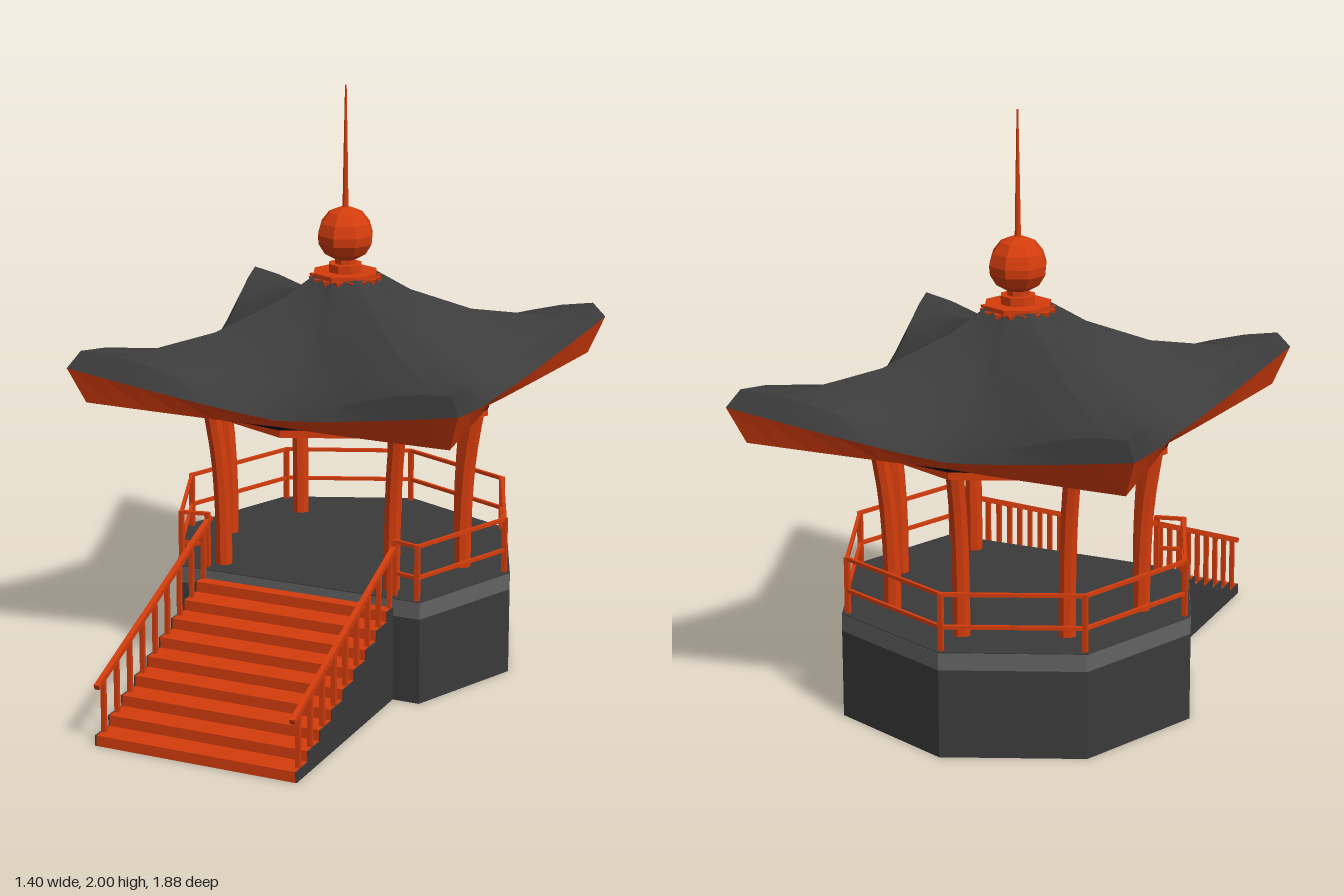
import * as THREE from 'three';
import { toCreasedNormals } from 'three/addons/utils/BufferGeometryUtils.js';

const CZ = -0.24; // centre of the pavilion
const mat = (color, extra = {}) => new THREE.MeshStandardMaterial({ color, flatShading: true, ...extra });
const V = (x, y, z) => new THREE.Vector3(x, y, z);

export function createModel() {
  const model = new THREE.Group();
  const red = mat(0xd43c0c);
  const stone = mat(0x3a3a3a);
  const trim = mat(0x626262);
  const tile = new THREE.MeshStandardMaterial({ color: 0x3c3c3c, side: THREE.DoubleSide });
  const dark = mat(0x07071a, { side: THREE.DoubleSide });
  const thinRed = mat(0xd43c0c, { side: THREE.DoubleSide });

  const add = (name, geometry, material, parent = model) => {
    const mesh = new THREE.Mesh(geometry, material);
    mesh.name = name;
    parent.add(mesh);
    return mesh;
  };
  const group = (name) => {
    const g = new THREE.Group();
    g.name = name;
    model.add(g);
    return g;
  };
  // square bar between two points
  const bar = (name, a, b, t, parent) => {
    const mesh = add(name, new THREE.BoxGeometry(t, t, a.distanceTo(b)), red, parent);
    mesh.position.copy(a).lerp(b, 0.5);
    mesh.lookAt(b);
  };
  // flat slab from [x, z] corners, optionally hollow
  const slab = (pts, y, h, hole) => {
    const path = (p) => p.map(([x, z]) => new THREE.Vector2(x, -z));
    const shape = new THREE.Shape(path(pts));
    if (hole) shape.holes.push(new THREE.Path(path(hole)));
    return new THREE.ExtrudeGeometry(shape, { depth: h, bevelEnabled: false })
      .rotateX(-Math.PI / 2).translate(0, y, 0);
  };

  // platform: octagon cut flat where the stairs meet it, hollow below
  const plan = (k) => [[0.455, 0.405], [0.62, 0], [0.44, -0.44], [0, -0.62],
    [-0.44, -0.44], [-0.62, 0], [-0.455, 0.405]].map(([x, z]) => [x * k, z * k + CZ]);
  add('platformWall', slab(plan(1), 0, 0.3, plan(0.8)), stone);
  add('platformEdge', slab(plan(1), 0.3, 0.058), trim);
  add('platformFloor', slab(plan(0.998), 0.358, 0.003), stone);

  // stairs
  const STEPS = 9, RUN = 0.09, RISE = 0.0365, FRONT = 0.93, BACK = 0.06;
  const profile = new THREE.Shape();
  profile.moveTo(BACK, 0);
  profile.lineTo(FRONT, 0);
  for (let i = 0; i < STEPS; i++) {
    profile.lineTo(FRONT - i * RUN, (i + 1) * RISE);
    profile.lineTo(i === STEPS - 1 ? BACK : FRONT - (i + 1) * RUN, (i + 1) * RISE);
  }
  const stairSolid = (x, w) => new THREE.ExtrudeGeometry(profile, { depth: w, bevelEnabled: false })
    .rotateY(-Math.PI / 2).translate(x + w / 2, 0, 0);
  add('stairs', stairSolid(0, 0.71), red);
  for (const s of [-1, 1]) {
    add('stairSide', stairSolid(s * 0.357, 0.005), stone);
    // sloping handrail with a post on every step
    const rail = group('stairRail');
    const x = s * 0.347;
    bar('handrail', V(x, 0.205, 0.935), V(x, 0.533, 0.115), 0.018, rail);
    for (let i = 0; i < STEPS; i++) {
      const z = FRONT - (i + 0.45) * RUN;
      bar('stairPost', V(x, (i + 1) * RISE, z), V(x, 0.205 + (0.935 - z) * 0.4, z), 0.015, rail);
    }
  }

  // railing around the floor, open at the stairs
  const railing = group('railing');
  const posts = [[0.35, 0.13], ...plan(0.965).map(([x, z]) => [x, z]), [-0.35, 0.13]];
  posts.forEach(([x, z], i) => {
    bar('railPost', V(x, 0.36, z), V(x, 0.555, z), 0.016, railing);
    const next = posts[i + 1];
    if (next) for (const y of [0.44, 0.55]) bar('rail', V(x, y, z), V(next[0], y, next[1]), 0.012, railing);
  });

  // columns curving outward at the top; none in front of the stairs
  const columns = group('columns');
  for (let i = 0; i < 8; i++) {
    if (i === 2) continue;
    const a = i * Math.PI / 4;
    const at = (r, y) => V(Math.cos(a) * r, y, Math.sin(a) * r + CZ);
    const curve = new THREE.CatmullRomCurve3([at(0.445, 0.355), at(0.447, 0.55), at(0.46, 0.75), at(0.488, 0.93)]);
    add('column', new THREE.TubeGeometry(curve, 8, 0.03, 8), red, columns);
  }

  // rings of points running alternately over edge middles and corners
  const N = 6;
  const ring = (mid, corner, midY, cornerY, wave = 0) => {
    const pts = [];
    const key = (o) => {
      const r = o % 2 ? corner : mid, a = o * Math.PI / 4;
      return V(Math.cos(a) * r, 0, Math.sin(a) * r);
    };
    for (let j = 0; j < 8 * N; j++) {
      const o = Math.floor(j / N), f = (j % N) / N;
      const s = o % 2 ? 1 - f : f;
      const p = key(o).lerp(key(o + 1), f);
      p.y = midY + (cornerY - midY) * s ** 1.15 + wave * Math.sin(s * Math.PI * 2);
      pts.push(p);
    }
    return pts;
  };
  const loft = (rings, crease) => {
    const n = 8 * N, index = [];
    for (let k = 0; k < rings.length - 1; k++) {
      for (let j = 0; j < n; j++) {
        const a = k * n + j, b = k * n + (j + 1) % n;
        index.push(a, b, a + n, b, b + n, a + n);
      }
    }
    const g = new THREE.BufferGeometry().setFromPoints(rings.flat());
    g.setIndex(index);
    return toCreasedNormals(g.translate(0, 0, CZ), crease);
  };

  // star-shaped roof with upturned corners
  const eave = ring(0.555, 0.99, 0.975, 1.11);
  const fasciaFoot = ring(0.535, 0.925, 0.948, 0.985);
  add('roof', loft([
    ring(0.1, 0.1, 1.36, 1.36),
    ring(0.17, 0.24, 1.25, 1.275),
    ring(0.27, 0.47, 1.155, 1.185),
    ring(0.41, 0.76, 1.065, 1.135, -0.012),
    ring(0.51, 0.94, 1.025, 1.165, -0.015),
    eave,
  ], 0.6), tile);
  add('fascia', loft([eave, fasciaFoot], 0.3), thinRed);
  add('soffit', loft([fasciaFoot, ring(0.53, 0.53, 0.935, 0.935)], 0.3), dark);

  // lintel ring and ceiling
  const octagon = (r) => Array.from({ length: 8 }, (_, i) =>
    [Math.cos(i * Math.PI / 4) * r, Math.sin(i * Math.PI / 4) * r + CZ]);
  add('lintel', slab(octagon(0.53), 0.91, 0.045, octagon(0.49)), red);
  add('ceiling', slab(octagon(0.52), 0.94, 0.01), red);

  // crown, ball and spire
  const finial = group('finial');
  finial.position.z = CZ;
  const turned = (name, pts) => add(name,
    new THREE.LatheGeometry(pts.map(([r, y]) => new THREE.Vector2(r, y)), 8), red, finial);
  turned('crownPlate', [[0, 1.34], [0.115, 1.34], [0.115, 1.36], [0.06, 1.36], [0.06, 1.388], [0.038, 1.388], [0.038, 1.415]]);
  turned('ball', [[0.035, 1.402], [0.075, 1.425], [0.097, 1.46], [0.1, 1.49], [0.088, 1.53], [0.06, 1.565], [0.02, 1.582], [0, 1.584]]);
  turned('spire', [[0.011, 1.575], [0.008, 1.75], [0.003, 2], [0, 2]]);
  // pointed teeth hanging from the crown
  const tooth = new THREE.ConeGeometry(0.022, 0.06, 4).rotateX(Math.PI);
  for (let i = 0; i < 16; i++) {
    const a = (i + 0.5) * Math.PI / 8;
    const mesh = add('crownTooth', tooth, red, finial);
    mesh.position.set(Math.cos(a) * 0.105, 1.315, Math.sin(a) * 0.105);
    mesh.rotation.y = -a;
  }
  return model;
}
